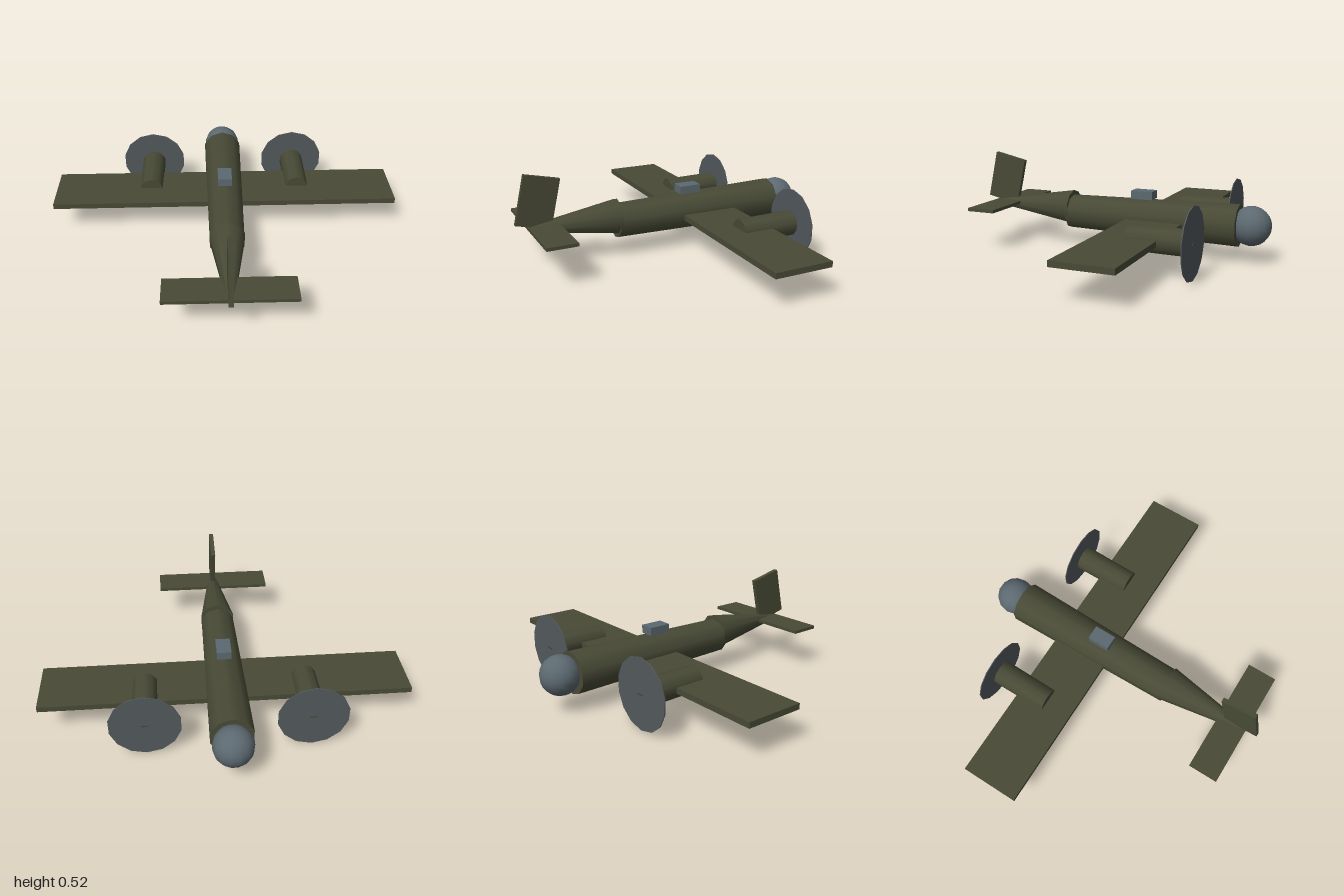
import * as THREE from 'three';

export function createModel() {
  const model = new THREE.Group();
  const mat = (name, color) => {
    const m = new THREE.MeshStandardMaterial({ color });
    m.name = name;
    return m;
  };
  const olive = mat('olive paint', 0x484a36);
  const glass = mat('blue grey glass', 0x5c6970);
  const grey = mat('propeller grey', 0x53595d);

  const add = (name, geometry, material, x, y, z) => {
    const mesh = new THREE.Mesh(geometry, material);
    mesh.name = name;
    mesh.position.set(x, y, z);
    model.add(mesh);
    return mesh;
  };
  const box = (name, material, w, h, d, x, y, z) =>
    add(name, new THREE.BoxGeometry(w, h, d), material, x, y, z);
  // Cylinder lying along z, from zFront (nose side) to zBack (tail side)
  const tube = (name, material, rFront, rBack, zFront, zBack, x, y, sides) => {
    const g = new THREE.CylinderGeometry(rBack, rFront, zBack - zFront, sides);
    g.rotateX(Math.PI / 2);
    return add(name, g, material, x, y, (zFront + zBack) / 2);
  };

  // Body, nose towards -z
  tube('fuselage', olive, 0.117, 0.098, -0.69, 0.307, 0, 0.203, 10);
  tube('tailCone', olive, 0.1, 0.02, 0.293, 0.788, 0, 0.2265, 10);
  add('noseDome', new THREE.SphereGeometry(0.107, 14, 12), glass, 0, 0.207, -0.755);
  box('canopy', glass, 0.08, 0.045, 0.125, 0, 0.333, -0.143);

  // Flying surfaces
  box('wing', olive, 2, 0.031, 0.325, 0, 0.19, -0.237);
  box('tailplane', olive, 0.68, 0.018, 0.168, 0, 0.234, 0.718);
  const fin = box('tailFin', olive, 0.025, 0.274, 0.198, 0, 0.372, 0.7415);
  fin.rotation.x = -0.22;

  // Engines with spinning propeller discs
  for (const side of [-1, 1]) {
    const x = side * 0.435;
    tube('engine', olive, 0.071, 0.068, -0.556, -0.23, x, 0.195, 10);
    tube('propellerDisc', grey, 0.19, 0.19, -0.568, -0.563, x, 0.194, 14);
    box('propellerHub', olive, 0.04, 0.008, 0.02, x, 0.194, -0.562);
  }
  return model;
}
